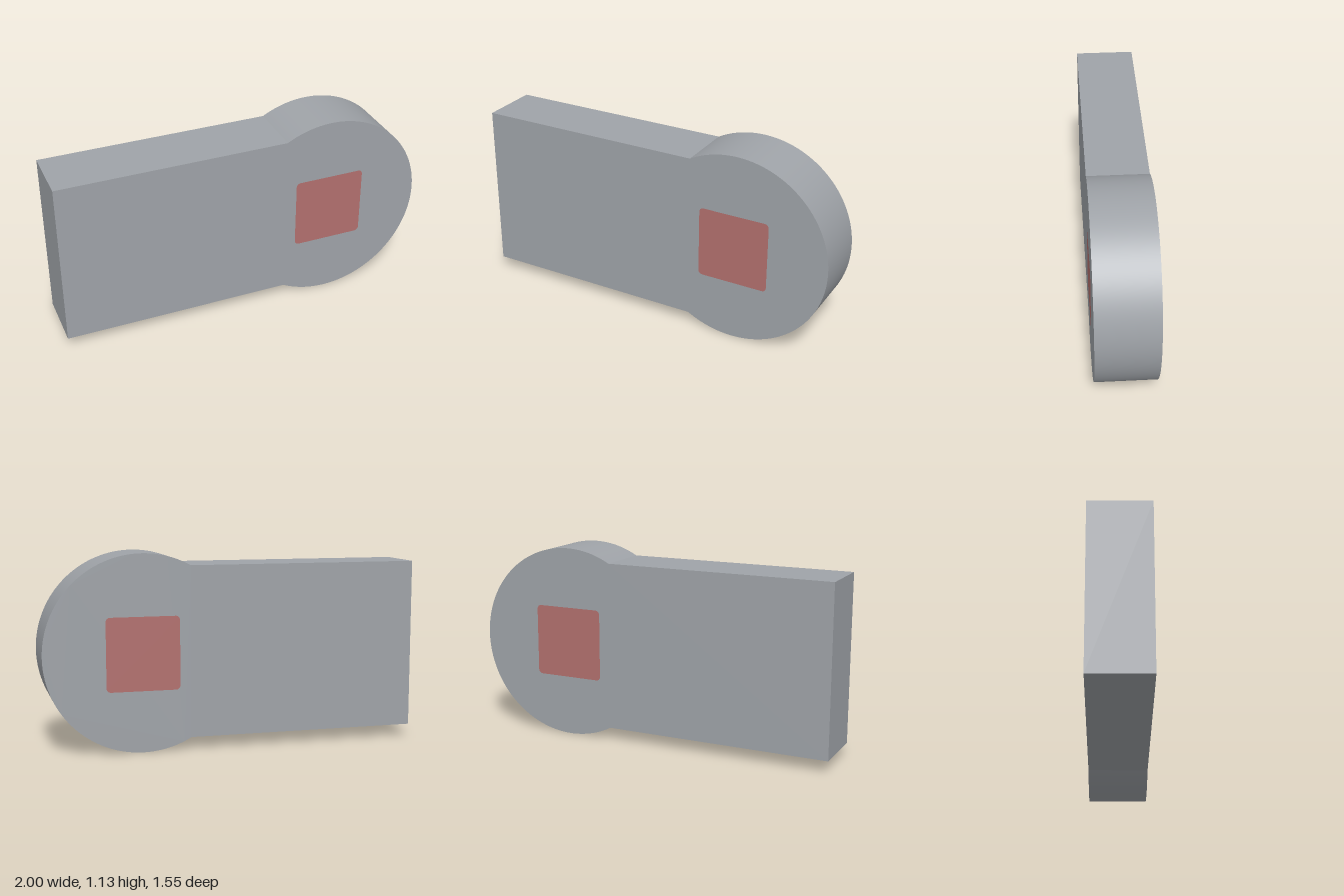
import * as THREE from 'three';

export function createModel() {
  const grey = new THREE.MeshStandardMaterial({ color: 0x9fa3a8 });
  grey.name = 'grey';
  const red = new THREE.MeshStandardMaterial({ color: 0xb2706e });
  red.name = 'dull red';

  const model = new THREE.Group();
  model.name = 'roundEndedBar';

  const depth = 0.35, radius = 0.567, halfBar = 0.495;
  const endX = -1.097, headX = 0.53;
  const neck = Math.PI - Math.asin(halfBar / radius); // angle where the bar meets the round head

  // Straight bar with a wider round head, as one outline
  const outline = new THREE.Shape();
  outline.moveTo(endX, halfBar);
  outline.lineTo(endX, -halfBar);
  outline.lineTo(headX + radius * Math.cos(neck), -halfBar);
  outline.absarc(headX, 0, radius, -neck, neck, false);
  outline.closePath();
  const bodyGeometry = new THREE.ExtrudeGeometry(outline, { depth, bevelEnabled: false, curveSegments: 96 });
  bodyGeometry.translate(0, 0, -depth / 2);

  // Smooth the rim of the head with radial normals
  const p = bodyGeometry.attributes.position, n = bodyGeometry.attributes.normal;
  for (let i = 0; i < p.count; i += 3) {
    if (Math.abs(n.getZ(i)) > 0.5) continue;
    const onHead = [0, 1, 2].every(k => Math.abs(Math.hypot(p.getX(i + k) - headX, p.getY(i + k)) - radius) < 1e-4);
    if (!onHead) continue;
    for (let k = i; k < i + 3; k++) n.setXYZ(k, (p.getX(k) - headX) / radius, p.getY(k) / radius, 0);
  }
  const body = new THREE.Mesh(bodyGeometry, grey);
  body.name = 'body';
  model.add(body);

  // Square painted patch with rounded corners on each face of the head
  const h = 0.212, r = 0.025;
  const square = new THREE.Shape();
  square.absarc(h - r, h - r, r, 0, Math.PI / 2);
  square.absarc(r - h, h - r, r, Math.PI / 2, Math.PI);
  square.absarc(r - h, r - h, r, Math.PI, Math.PI * 1.5);
  square.absarc(h - r, r - h, r, Math.PI * 1.5, Math.PI * 2);
  const patchGeometry = new THREE.ShapeGeometry(square, 8);
  for (const side of [1, -1]) {
    const patch = new THREE.Mesh(patchGeometry, red);
    patch.name = side > 0 ? 'frontPatch' : 'backPatch';
    patch.position.set(headX, 0, side * (depth / 2 + 0.002));
    if (side < 0) patch.rotation.y = Math.PI;
    model.add(patch);
  }

  // Turn the bar about the vertical and stand it on its rim
  model.rotation.y = THREE.MathUtils.degToRad(35);
  model.position.y = radius;
  const root = new THREE.Group();
  root.name = 'model';
  root.add(model);
  return root;
}
